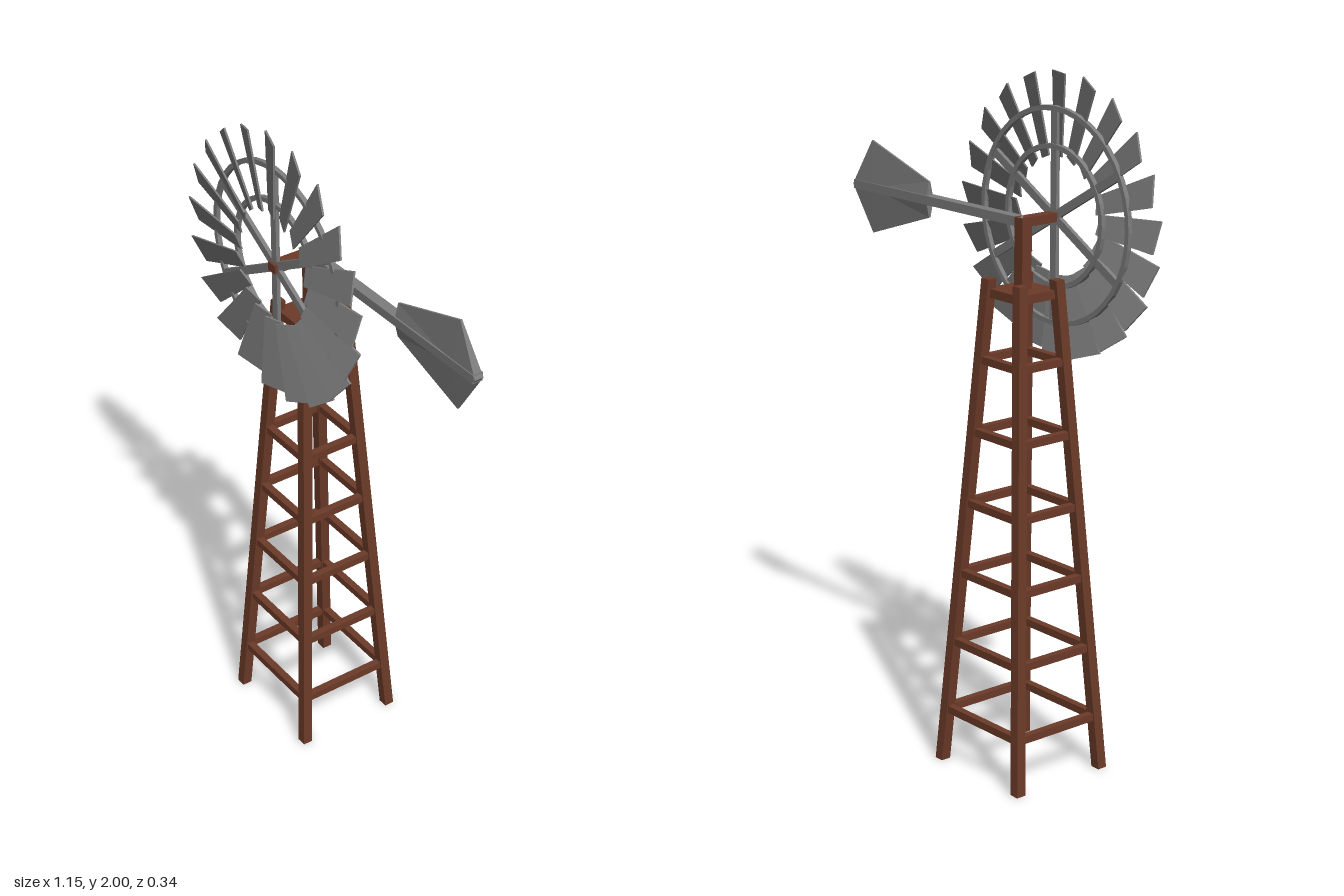
import * as THREE from 'three';

const wood = new THREE.MeshStandardMaterial({ color: 0x6b3a28, flatShading: true });
const metal = new THREE.MeshStandardMaterial({ color: 0x7c7c7c, flatShading: true });

const CX = -0.18;      // tower axis
const HUB_Y = 1.6;     // wheel and tail height

function add(parent, name, geometry, material, x = 0, y = 0, z = 0) {
  const mesh = new THREE.Mesh(geometry, material);
  mesh.name = name;
  mesh.position.set(x, y, z);
  parent.add(mesh);
  return mesh;
}

// Moves each vertex by a rule
function reshape(geometry, rule) {
  const p = geometry.attributes.position;
  const v = new THREE.Vector3();
  for (let i = 0; i < p.count; i++) {
    v.fromBufferAttribute(p, i);
    rule(v);
    p.setXYZ(i, v.x, v.y, v.z);
  }
  geometry.computeVertexNormals();
  return geometry;
}

function buildTower() {
  const tower = new THREE.Group();
  tower.name = 'tower';
  const H = 1.44;
  const halfX = y => THREE.MathUtils.lerp(0.169, 0.066, y / H);
  const halfZ = y => THREE.MathUtils.lerp(0.154, 0.066, y / H);

  // Four legs leaning inwards
  for (const sx of [-1, 1]) for (const sz of [-1, 1]) {
    const leg = reshape(new THREE.BoxGeometry(0.03, H, 0.03), v => {
      v.y += H / 2;
      v.x += sx * halfX(v.y);
      v.z += sz * halfZ(v.y);
    });
    add(tower, 'leg', leg, wood);
  }

  // Square frames of rungs
  for (let i = 0; i < 6; i++) {
    const y = 0.16 + i * 0.21;
    for (const s of [-1, 1]) {
      add(tower, 'rung', new THREE.BoxGeometry(2 * halfX(y), 0.022, 0.022), wood, 0, y, s * halfZ(y));
      add(tower, 'rung', new THREE.BoxGeometry(0.022, 0.022, 2 * halfZ(y)), wood, s * halfX(y), y, 0);
    }
  }

  // Platform, mast and wheel shaft
  add(tower, 'platform', new THREE.BoxGeometry(0.145, 0.025, 0.145), wood, 0, 1.4, 0);
  add(tower, 'mast', new THREE.BoxGeometry(0.034, 0.21, 0.034), wood, 0, 1.508, 0);
  add(tower, 'shaft', new THREE.BoxGeometry(0.034, 0.026, 0.145), wood, 0, HUB_Y, 0.0575);
  return tower;
}

function buildWheel() {
  const wheel = new THREE.Group();
  wheel.name = 'wheel';

  // Pitched blades, narrower towards the hub
  const r0 = 0.167, r1 = 0.397;
  const blade = reshape(new THREE.BoxGeometry(1, r1 - r0, 0.006), v => {
    v.y += (r0 + r1) / 2;
    v.x *= THREE.MathUtils.mapLinear(v.y, r0, r1, 0.052, 0.086);
    v.z += v.x * 0.36;
  });
  for (let i = 0; i < 20; i++) {
    add(wheel, 'blade', blade, metal, 0, 0, 0.126).rotation.z = i * Math.PI / 10;
  }

  // Support rings behind the blades
  for (const r of [0.195, 0.3]) {
    const shape = new THREE.Shape().absarc(0, 0, r + 0.007, 0, Math.PI * 2);
    shape.holes.push(new THREE.Path().absarc(0, 0, r - 0.007, 0, Math.PI * 2, true));
    const ring = new THREE.ExtrudeGeometry(shape, { depth: 0.014, bevelEnabled: false, curveSegments: 20 });
    add(wheel, 'ring', ring, metal, 0, 0, 0.106);
  }

  // Six spokes
  const spoke = new THREE.BoxGeometry(0.024, 0.305, 0.012).translate(0, 0.1525, 0);
  for (let i = 0; i < 6; i++) {
    add(wheel, 'spoke', spoke, metal, 0, 0, 0.115).rotation.z = i * Math.PI / 3;
  }
  wheel.position.y = HUB_Y;
  return wheel;
}

function buildTail() {
  const tail = new THREE.Group();
  tail.name = 'tail';

  // Boom with a mitred end at the mast
  const boom = reshape(new THREE.BoxGeometry(0.75, 0.026, 0.032), v => {
    v.x += 0.375;
    if (v.x < 0.1) v.x += v.z;
  });
  add(tail, 'boom', boom, metal);

  // Kite-shaped vane, thick along the middle and thin at its edges
  const outline = [[0.41, 0], [0.41, 0.052], [0.675, 0.137], [0.756, 0], [0.675, -0.137], [0.41, -0.052]];
  const points = [];
  const thin = 0.003, thick = 0.014;
  outline.forEach(([ax, ay], i) => {
    const [bx, by] = outline[(i + 1) % outline.length];
    const az = ay ? thin : thick, bz = by ? thin : thick;
    // front and back triangles fan from a ridge point
    points.push(0.66, 0, thick, bx, by, bz, ax, ay, az);
    points.push(0.66, 0, -thick, ax, ay, -az, bx, by, -bz);
    // rim
    points.push(ax, ay, az, bx, by, bz, bx, by, -bz);
    points.push(ax, ay, az, bx, by, -bz, ax, ay, -az);
  });
  const vane = new THREE.BufferGeometry();
  vane.setAttribute('position', new THREE.Float32BufferAttribute(points, 3));
  vane.computeVertexNormals();
  add(tail, 'vane', vane, metal);

  tail.position.y = HUB_Y;
  return tail;
}

export function createModel() {
  const windmill = new THREE.Group();
  windmill.name = 'windmill';
  const body = new THREE.Group();
  body.name = 'body';
  body.add(buildTower(), buildWheel(), buildTail());
  body.position.x = CX;
  windmill.add(body);
  return windmill;
}
